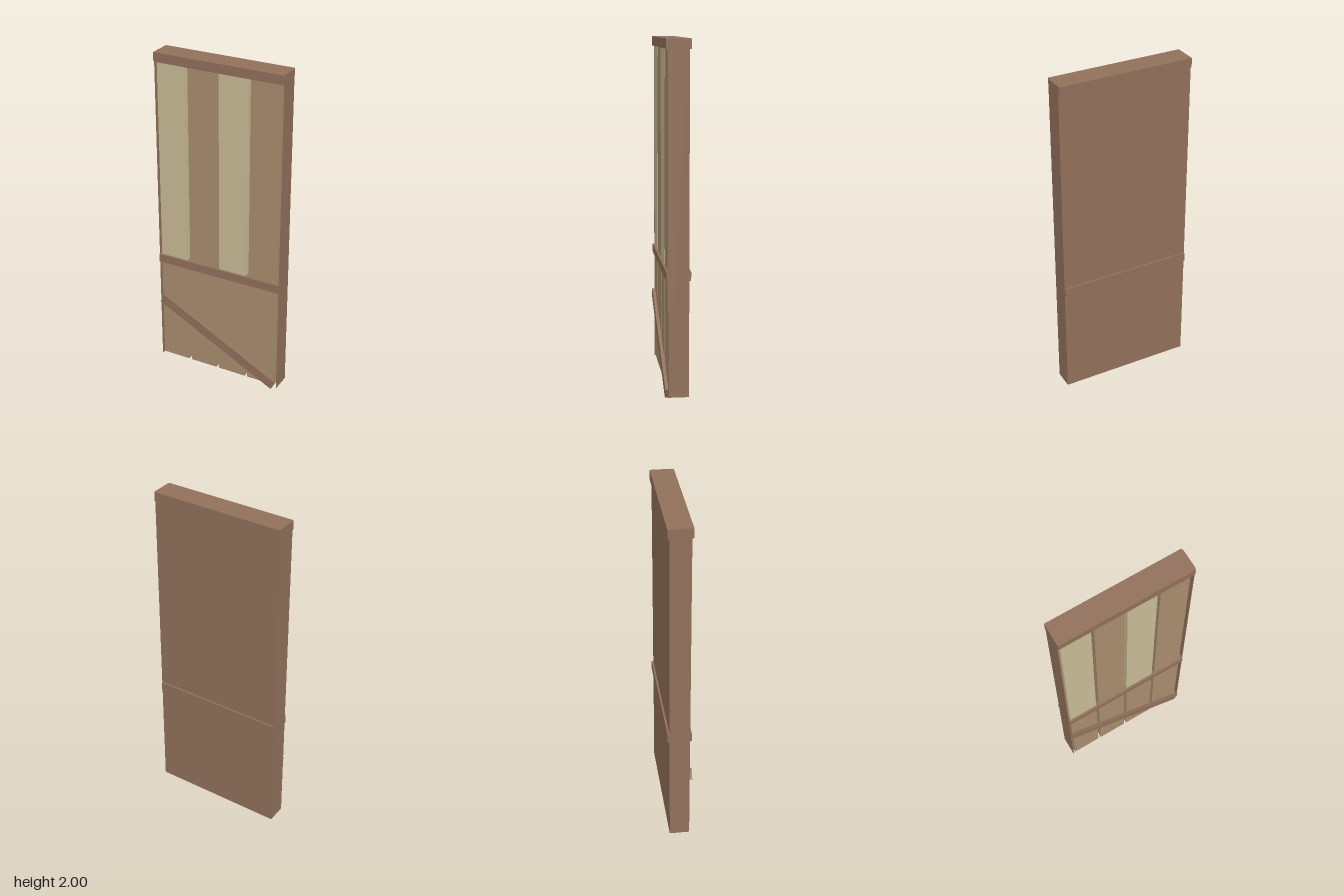
import * as THREE from 'three';

export function createModel() {
  const model = new THREE.Group();
  const frameBrown = new THREE.MeshStandardMaterial({ color: 0x91705a });
  const plankTan = new THREE.MeshStandardMaterial({ color: 0xa88d6e });
  const plankCream = new THREE.MeshStandardMaterial({ color: 0xc8ba94 });
  frameBrown.name = 'frameBrown';
  plankTan.name = 'plankTan';
  plankCream.name = 'plankCream';

  // Box given by its limits on each axis
  function box(name, material, [x0, x1], [y0, y1], [z0, z1], parent = model) {
    const mesh = new THREE.Mesh(new THREE.BoxGeometry(x1 - x0, y1 - y0, z1 - z0), material);
    mesh.position.set((x0 + x1) / 2, (y0 + y1) / 2, (z0 + z1) / 2);
    mesh.name = name;
    parent.add(mesh);
    return mesh;
  }

  // Thin case, open at the front and bottom
  const frame = new THREE.Group();
  frame.name = 'frame';
  model.add(frame);
  box('backPanel', frameBrown, [-0.4, 0.4], [0.01, 1.998], [-0.061, -0.057], frame);
  box('rightSidePanel', frameBrown, [-0.4, -0.396], [0.01, 1.999], [-0.061, 0.056], frame);
  box('leftSidePanel', frameBrown, [0.396, 0.4], [0.01, 1.999], [-0.061, 0.056], frame);

  // Four planks with gaps; alternate ones change colour above the middle rail
  const planks = new THREE.Group();
  planks.name = 'planks';
  model.add(planks);
  const depth = [-0.056, 0.054];
  for (let i = 0; i < 4; i++) {
    const x = [-0.385 + i * 0.195, -0.208 + i * 0.195];
    box('lowerPlank', plankTan, x, [0.025, 0.7], depth, planks);
    box('upperPlank', i % 2 ? plankTan : plankCream, x, [0.7, 1.97], depth, planks);
  }

  // Rails running through the door and standing proud on both faces
  box('topRail', frameBrown, [-0.399, 0.396], [1.945, 2], [-0.072, 0.066]);
  box('middleRail', frameBrown, [-0.399, 0.396], [0.678, 0.73], [-0.072, 0.066]);

  // Diagonal brace across the lower front
  const brace = box('brace', frameBrown, [-0.431, 0.431], [0.197, 0.257], [0.053, 0.072]);
  brace.rotation.z = -0.48;

  return model;
}
